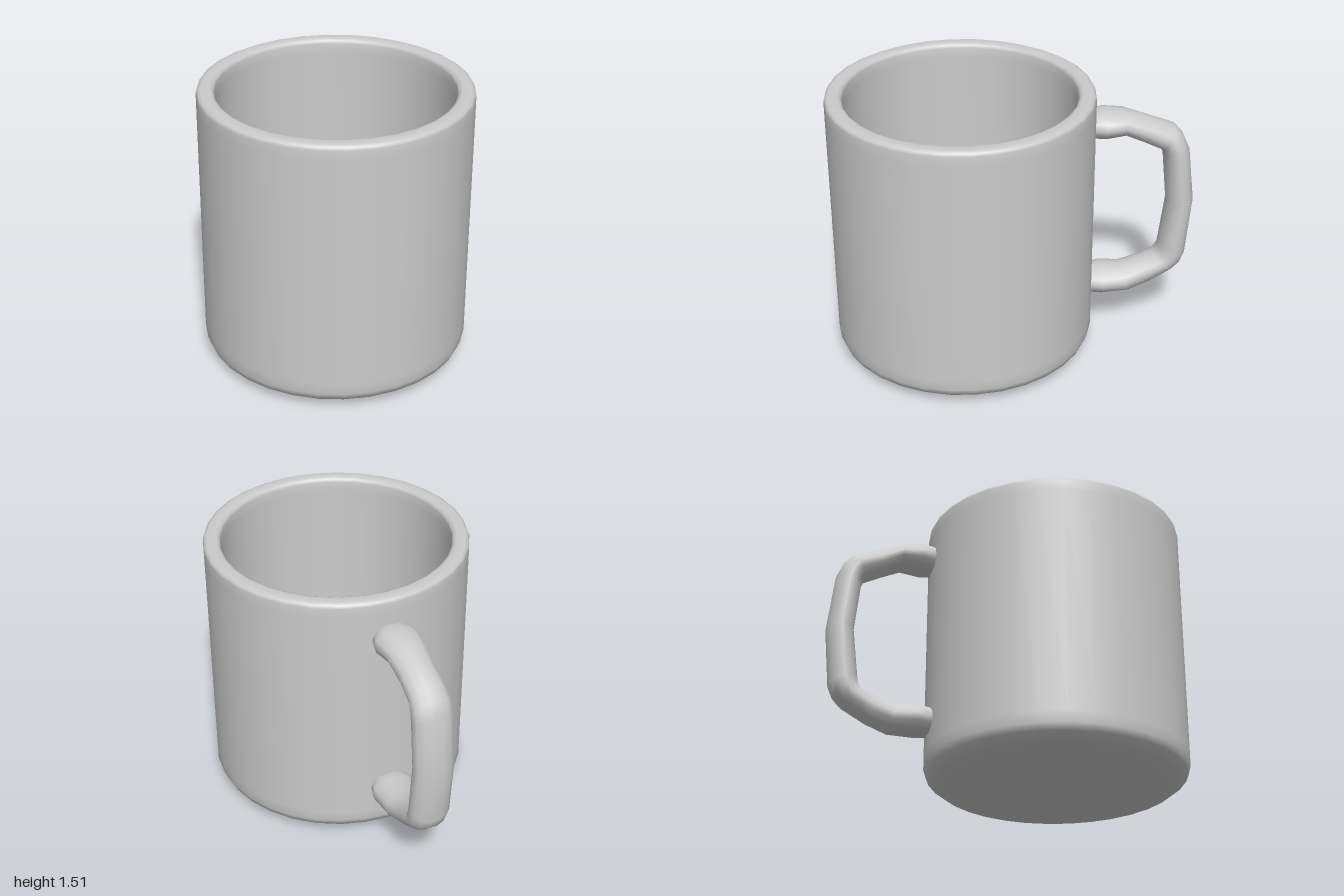
import * as THREE from 'three';

const material = new THREE.MeshStandardMaterial({ color: 0xcccccc });

// Lofts smooth elliptical rings; each row: outer z, outer y, inner z, inner y, half width in x
function loftHandle(rows, sides) {
  const positions = [], indices = [];
  rows.forEach(([oz, oy, iz, iy, w], i) => {
    for (let j = 0; j < sides; j++) {
      const a = (j / sides) * Math.PI * 2, s = Math.sin(a);
      positions.push(
        Math.cos(a) * w,
        (oy + iy) / 2 + (s * (oy - iy)) / 2,
        (oz + iz) / 2 + (s * (oz - iz)) / 2
      );
      if (i === rows.length - 1) continue;
      const p = i * sides + j, q = i * sides + ((j + 1) % sides);
      indices.push(p, p + sides, q, q, p + sides, q + sides);
    }
  });
  const geometry = new THREE.BufferGeometry();
  geometry.setAttribute('position', new THREE.Float32BufferAttribute(positions, 3));
  geometry.setIndex(indices);
  geometry.computeVertexNormals();
  return geometry;
}

export function createModel() {
  const group = new THREE.Group();
  group.name = 'mug';

  // Cup: closed wall profile from the underside, over the rim, to the inner floor
  const profile = [
    [0, 0], [0.5, 0], [0.55, 0.004], [0.65, 0.024], [0.7, 0.062], [0.715, 0.1], [0.715, 0.16],
    [0.715, 1.44], [0.715, 1.49], [0.709, 1.506], [0.692, 1.515],
    [0.645, 1.515], [0.628, 1.506], [0.621, 1.49], [0.62, 1.44],
    [0.62, 0.26], [0.61, 0.19], [0.57, 0.13], [0.5, 0.1], [0.4, 0.09], [0, 0.09]
  ].map(([r, y]) => new THREE.Vector2(r, y));
  const cup = new THREE.Mesh(new THREE.LatheGeometry(profile, 32), material);
  cup.name = 'cup';
  cup.position.z = 0.28;
  group.add(cup);

  // Handle: ends are sunk into the cup wall and flare slightly beside it
  const handle = new THREE.Mesh(loftHandle([
    [-0.38, 1.35, -0.38, 1.22, 0.095],
    [-0.43, 1.365, -0.43, 1.212, 0.11],
    [-0.49, 1.37, -0.49, 1.21, 0.13],
    [-0.6, 1.36, -0.6, 1.222, 0.112],
    [-0.73, 1.315, -0.7, 1.172, 0.1],
    [-0.875, 1.26, -0.805, 1.12, 0.105],
    [-0.925, 1.205, -0.82, 1.09, 0.11],
    [-0.962, 1.12, -0.825, 1.05, 0.112],
    [-1.0, 0.805, -0.85, 0.805, 0.112],
    [-0.972, 0.475, -0.818, 0.53, 0.112],
    [-0.945, 0.41, -0.812, 0.495, 0.11],
    [-0.9, 0.365, -0.79, 0.462, 0.106],
    [-0.77, 0.285, -0.7, 0.428, 0.1],
    [-0.645, 0.237, -0.6, 0.395, 0.11],
    [-0.49, 0.237, -0.49, 0.4, 0.13],
    [-0.43, 0.24, -0.43, 0.392, 0.11],
    [-0.38, 0.255, -0.38, 0.38, 0.095]
  ], 14), material);
  handle.name = 'handle';
  group.add(handle);

  return group;
}
